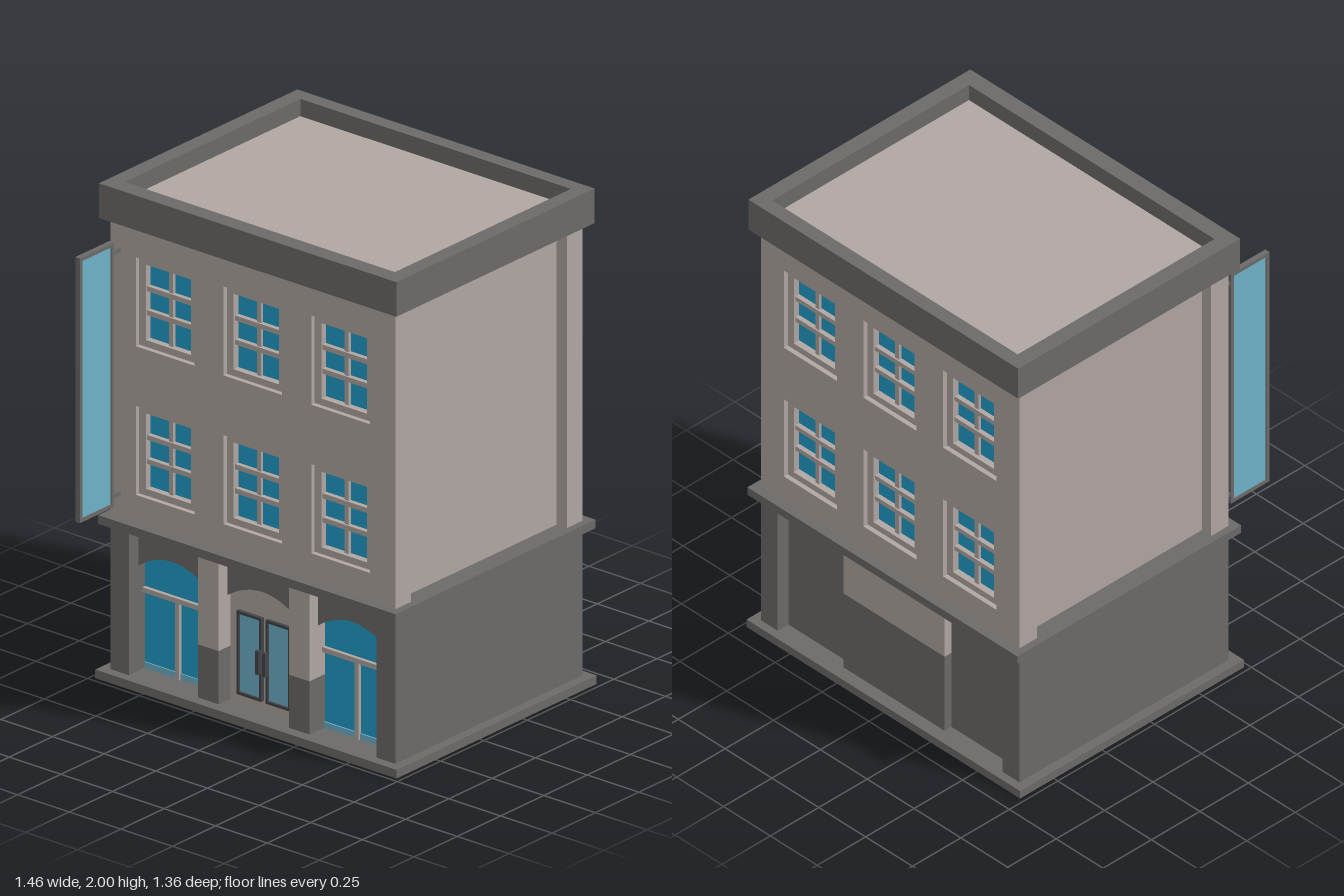
import * as THREE from 'three';

const mat = (name, color) => {
  const m = new THREE.MeshStandardMaterial({ color });
  m.name = name;
  return m;
};

export function createModel() {
  const root = new THREE.Group();
  root.name = 'building';
  const dark = mat('dark stone', 0x6b6a68);
  const beige = mat('beige plaster', 0xb0a6a2);
  const blue = mat('blue glass', 0x219ccb);
  const pale = mat('pale glass', 0x6fb1c9);
  const metal = mat('dark metal', 0x424447);

  // Box given by its limits on each axis
  const box = (name, m, x0, x1, y0, y1, z0, z1, parent = root) => {
    const mesh = new THREE.Mesh(new THREE.BoxGeometry(x1 - x0, y1 - y0, z1 - z0), m);
    mesh.position.set((x0 + x1) / 2, (y0 + y1) / 2, (z0 + z1) / 2);
    mesh.name = name;
    parent.add(mesh);
    return mesh;
  };
  const rect = (C, x0, x1, y0, y1) => {
    const s = new C();
    s.moveTo(x0, y0);
    s.lineTo(x1, y0);
    s.lineTo(x1, y1);
    s.lineTo(x0, y1);
    s.closePath();
    return s;
  };
  const extrude = (name, m, shape, depth, z, parent = root) => {
    const geo = new THREE.ExtrudeGeometry(shape, { depth, bevelEnabled: false, curveSegments: 12 });
    const mesh = new THREE.Mesh(geo, m);
    mesh.position.z = z;
    mesh.name = name;
    parent.add(mesh);
    return mesh;
  };

  // Plinth, ground floor core and the band above it
  box('plinth', dark, -0.73, 0.73, 0, 0.035, -0.675, 0.48);
  box('groundFloor', dark, -0.69, 0.69, 0.035, 0.625, -0.585, 0.34);
  box('floorBand', dark, -0.72, 0.72, 0.625, 0.66, -0.68, 0.475);

  for (const s of [-1, 1]) {
    const side = (name, m, a, b, ...rest) => box(name, m, Math.min(s * a, s * b), Math.max(s * a, s * b), ...rest);
    // Pillars
    side('frontCornerPillar', dark, 0.6, 0.69, 0.035, 0.625, 0.34, 0.44);
    side('backCornerPillar', dark, 0.6, 0.69, 0.035, 0.625, -0.64, -0.585);
    side('doorPillarBase', dark, 0.17, 0.27, 0.035, 0.25, 0.34, 0.435);
    side('doorPillarTop', beige, 0.17, 0.27, 0.25, 0.625, 0.34, 0.435);
    // Shop window with its bars
    side('shopWindow', blue, 0.27, 0.6, 0.035, 0.55, 0.34, 0.346);
    side('shopWindowFoot', pale, 0.27, 0.6, 0.035, 0.06, 0.346, 0.351);
    side('shopWindowCrossbar', beige, 0.27, 0.6, 0.345, 0.365, 0.346, 0.362);
    side('shopWindowPost', beige, 0.425, 0.445, 0.035, 0.345, 0.346, 0.36);
    // Door leaf: four rails, pane and handle
    const door = new THREE.Group();
    door.name = 'door';
    root.add(door);
    const leaf = rect(THREE.Shape, -0.06, 0.06, 0.07, 0.408);
    leaf.holes.push(rect(THREE.Path, -0.049, 0.049, 0.081, 0.397));
    extrude('doorFrame', metal, leaf, 0.015, 0.365, door);
    box('doorPane', pale, -0.05, 0.05, 0.08, 0.4, 0.365, 0.371, door);
    box('doorHandle', metal, -s * 0.054 - 0.008, -s * 0.054 + 0.008, 0.185, 0.28, 0.38, 0.398, door);
    door.position.x = s * 0.07;
  }
  box('doorSurround', beige, -0.17, 0.17, 0.035, 0.55, 0.34, 0.365);

  // Lintel with three arched undersides
  const lintel = new THREE.Shape();
  lintel.moveTo(-0.6, 0.625);
  lintel.lineTo(-0.6, 0.46);
  for (const [a, b] of [[-0.6, -0.27], [-0.17, 0.17], [0.27, 0.6]]) {
    lintel.lineTo(a, 0.46);
    lintel.quadraticCurveTo((a + b) / 2, 0.58, b, 0.46);
  }
  lintel.lineTo(0.6, 0.625);
  lintel.closePath();
  extrude('archedLintel', dark, lintel, 0.045, 0.34);

  // Rear centre panel
  box('rearPanelBase', dark, -0.27, 0.27, 0.035, 0.38, -0.62, -0.585);
  box('rearPanelTop', beige, -0.27, 0.27, 0.38, 0.625, -0.62, -0.585);

  // Upper floors: recessed side walls between front and back walls
  box('upperCore', beige, -0.64, 0.64, 0.66, 1.86, -0.555, 0.35);
  const cells = [];
  for (const y of [0.953, 1.554]) for (const x of [-0.425, 0, 0.425]) cells.push([x, y]);
  const upperWall = (name) => {
    const g = new THREE.Group();
    g.name = name;
    root.add(g);
    const wall = rect(THREE.Shape, -0.69, 0.69, 0.66, 1.86);
    for (const [x, y] of cells) wall.holes.push(rect(THREE.Path, x - 0.142, x + 0.142, y - 0.18, y + 0.18));
    extrude(name + 'Surface', beige, wall, 0.09, 0, g);
    for (const [x, y] of cells) {
      const w = new THREE.Group();
      w.name = 'window';
      w.position.set(x, y, 0);
      g.add(w);
      const frame = rect(THREE.Shape, -0.142, 0.142, -0.18, 0.18);
      frame.holes.push(rect(THREE.Path, -0.11, 0.11, -0.153, 0.152));
      extrude('windowFrame', beige, frame, 0.07, 0, w);
      box('windowGlass', blue, -0.112, 0.112, -0.155, 0.155, 0.035, 0.042, w);
      box('windowPost', beige, -0.01, 0.01, -0.153, 0.152, 0.042, 0.055, w);
      for (const h of [-0.045, 0.052]) box('windowBar', beige, -0.11, 0.11, h - 0.01, h + 0.01, 0.042, 0.062, w);
    }
    return g;
  };
  upperWall('frontWall').position.z = 0.35;
  const back = upperWall('backWall');
  back.rotation.y = Math.PI;
  back.position.z = -0.55;

  // Cornice, parapet and sunken roof
  box('cornice', dark, -0.72, 0.72, 1.86, 1.9, -0.675, 0.47);
  const ring = rect(THREE.Shape, -0.72, 0.72, -0.47, 0.675);
  ring.holes.push(rect(THREE.Path, -0.655, 0.655, -0.4, 0.615));
  const parapet = extrude('parapet', dark, ring, 0.1, 0);
  parapet.rotation.x = -Math.PI / 2;
  parapet.position.y = 1.9;
  box('roof', beige, -0.656, 0.656, 1.9, 1.93, -0.616, 0.401);

  // Hanging sign on two brackets
  const sign = new THREE.Group();
  sign.name = 'hangingSign';
  root.add(sign);
  const [x0, x1] = [-0.656, -0.634];
  box('signTop', dark, x0, x1, 1.775, 1.79, 0.485, 0.683, sign);
  box('signBottom', dark, x0, x1, 0.72, 0.735, 0.485, 0.683, sign);
  box('signInnerEdge', dark, x0, x1, 0.735, 1.775, 0.485, 0.5, sign);
  box('signOuterEdge', dark, x0, x1, 0.735, 1.775, 0.668, 0.683, sign);
  box('signPanel', pale, x0 + 0.004, x1 - 0.004, 0.735, 1.775, 0.5, 0.668, sign);
  for (const y of [0.76, 1.745]) box('signBracket', dark, -0.652, -0.638, y - 0.008, y + 0.008, 0.43, 0.486, sign);

  return root;
}
